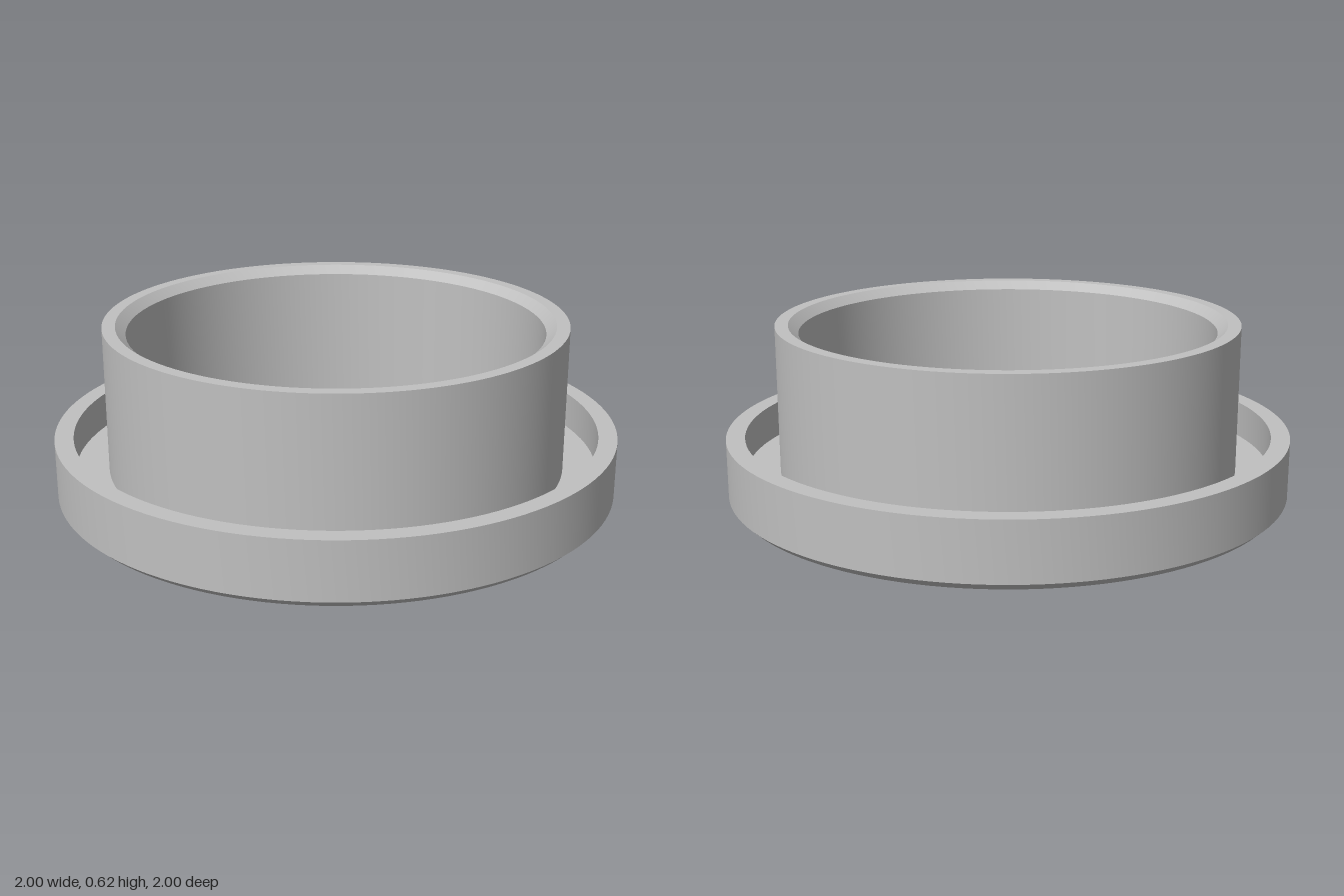
import * as THREE from 'three';
import { toCreasedNormals } from 'three/addons/utils/BufferGeometryUtils.js';

const grey = new THREE.MeshStandardMaterial({ color: 0xc0c0c0 });
grey.name = 'plain grey';

// Turned part with sharp edges between profile segments
function turned(name, profile, segments) {
  const points = profile.map(([r, y]) => new THREE.Vector2(r, y));
  const geometry = toCreasedNormals(new THREE.LatheGeometry(points, segments), 0.35);
  const mesh = new THREE.Mesh(geometry, grey);
  mesh.name = name;
  return mesh;
}

export function createModel() {
  const group = new THREE.Group();
  group.name = 'plugCap';

  // Cap: chamfered base, raised outer rim, groove, tall inner collar, recessed floor
  group.add(turned('cap', [
    [0, 0], [0.972, 0], [1, 0.026], [1, 0.23],        // base and outer side
    [0.934, 0.23], [0.934, 0.1],                      // rim and groove
    [0.816, 0.1], [0.816, 0.62],                      // collar outside
    [0.77, 0.62], [0.735, 0.59],                      // collar lip and inner chamfer
    [0.726, 0.1], [0, 0.1],                           // collar inside and floor
  ], 128));

  // Small stepped cone in the middle of the floor
  group.add(turned('centrePip', [
    [0.07, 0.1], [0.042, 0.15], [0.022, 0.17], [0, 0.17],
  ], 48));

  return group;
}
